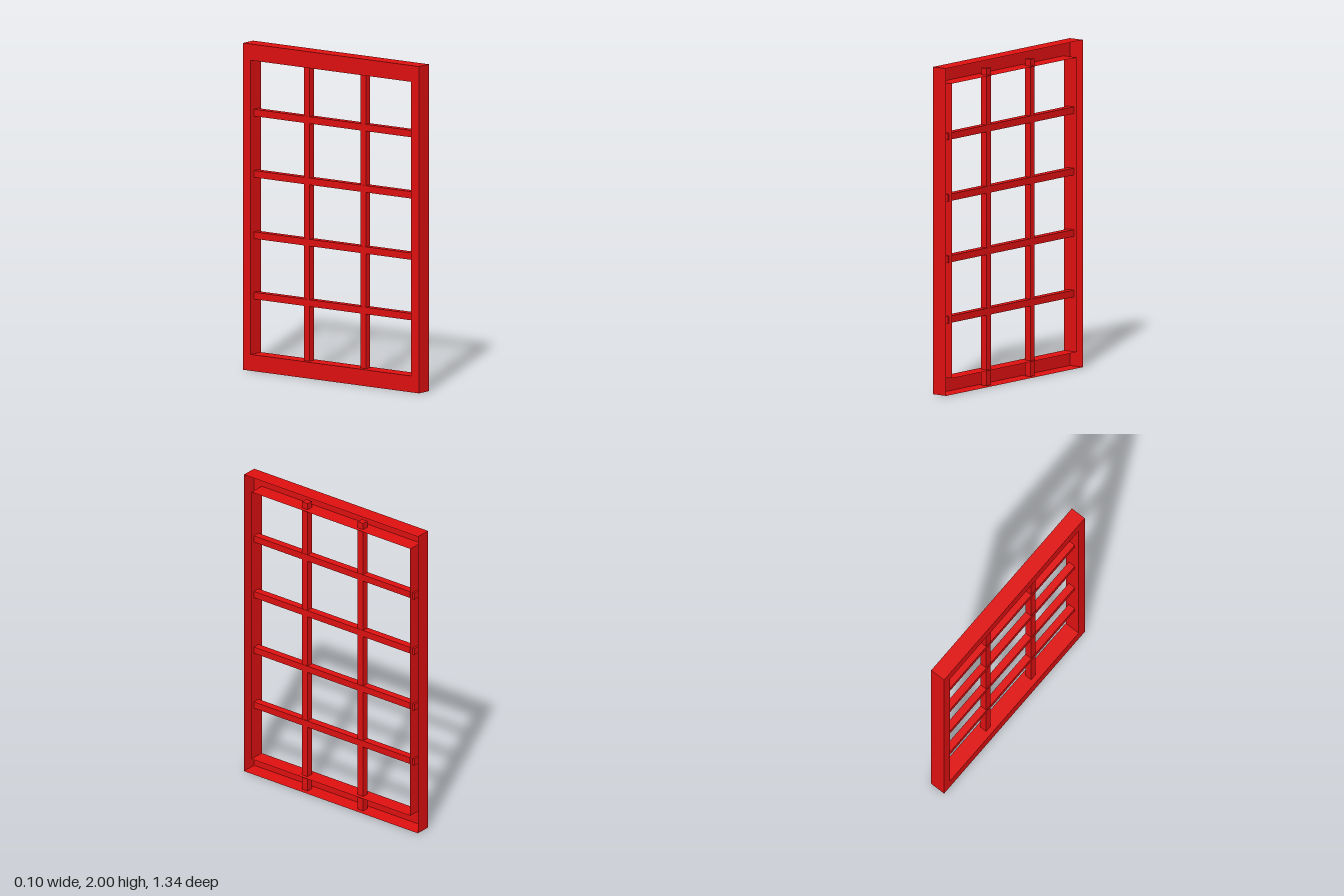
import * as THREE from 'three';

const DEPTH = 0.1, HALF_W = 0.67, HEIGHT = 2;
const OPEN_HALF_W = 0.612, OPEN_BOTTOM = 0.1, OPEN_TOP = 1.9;

export function createModel() {
  const group = new THREE.Group();
  const color = 0xe01010;
  const sheet = new THREE.MeshStandardMaterial({ color, side: THREE.DoubleSide });
  const solid = new THREE.MeshStandardMaterial({ color });

  const add = (name, geometry, material, x, y, z) => {
    const mesh = new THREE.Mesh(geometry, material);
    mesh.name = name;
    mesh.position.set(x, y, z);
    group.add(mesh);
  };

  // Flat face plate of the channel frame, with the window opening cut out
  const rect = (path, w, y0, y1) =>
    path.moveTo(-w, y0).lineTo(w, y0).lineTo(w, y1).lineTo(-w, y1).closePath();
  const plate = rect(new THREE.Shape(), HALF_W, 0, HEIGHT);
  plate.holes.push(rect(new THREE.Path(), OPEN_HALF_W, OPEN_BOTTOM, OPEN_TOP));
  add('facePlate', new THREE.ShapeGeometry(plate).rotateY(-Math.PI / 2), sheet, -DEPTH / 2, 0, 0);

  // Thin walls around the outer and inner edges; the channel stays open towards +x
  const addWalls = (name, w, y0, y1) => {
    for (const side of [-1, 1]) {
      const upright = new THREE.PlaneGeometry(DEPTH, y1 - y0);
      if (side < 0) upright.rotateY(Math.PI);
      add(name + 'Side', upright, sheet, 0, (y0 + y1) / 2, side * w);
      const level = new THREE.PlaneGeometry(DEPTH, 2 * w).rotateX(-side * Math.PI / 2);
      add(name + (side > 0 ? 'Top' : 'Bottom'), level, sheet, 0, side > 0 ? y1 : y0, 0);
    }
  };
  addWalls('outerWall', HALF_W, 0, HEIGHT);
  addWalls('innerWall', OPEN_HALF_W, OPEN_BOTTOM, OPEN_TOP);

  // Glazing bars, running through the inner walls into the channel
  const BAR = 0.042, BAR_X = 0.004;
  for (const z of [0.22, -0.208])
    add('verticalBar', new THREE.BoxGeometry(BAR, 1.938, BAR), solid, BAR_X, 0.972, z);
  for (const y of [0.455, 0.825, 1.2, 1.575])
    add('horizontalBar', new THREE.BoxGeometry(BAR + 0.004, BAR, 1.25), solid, BAR_X, y, 0);

  return group;
}
